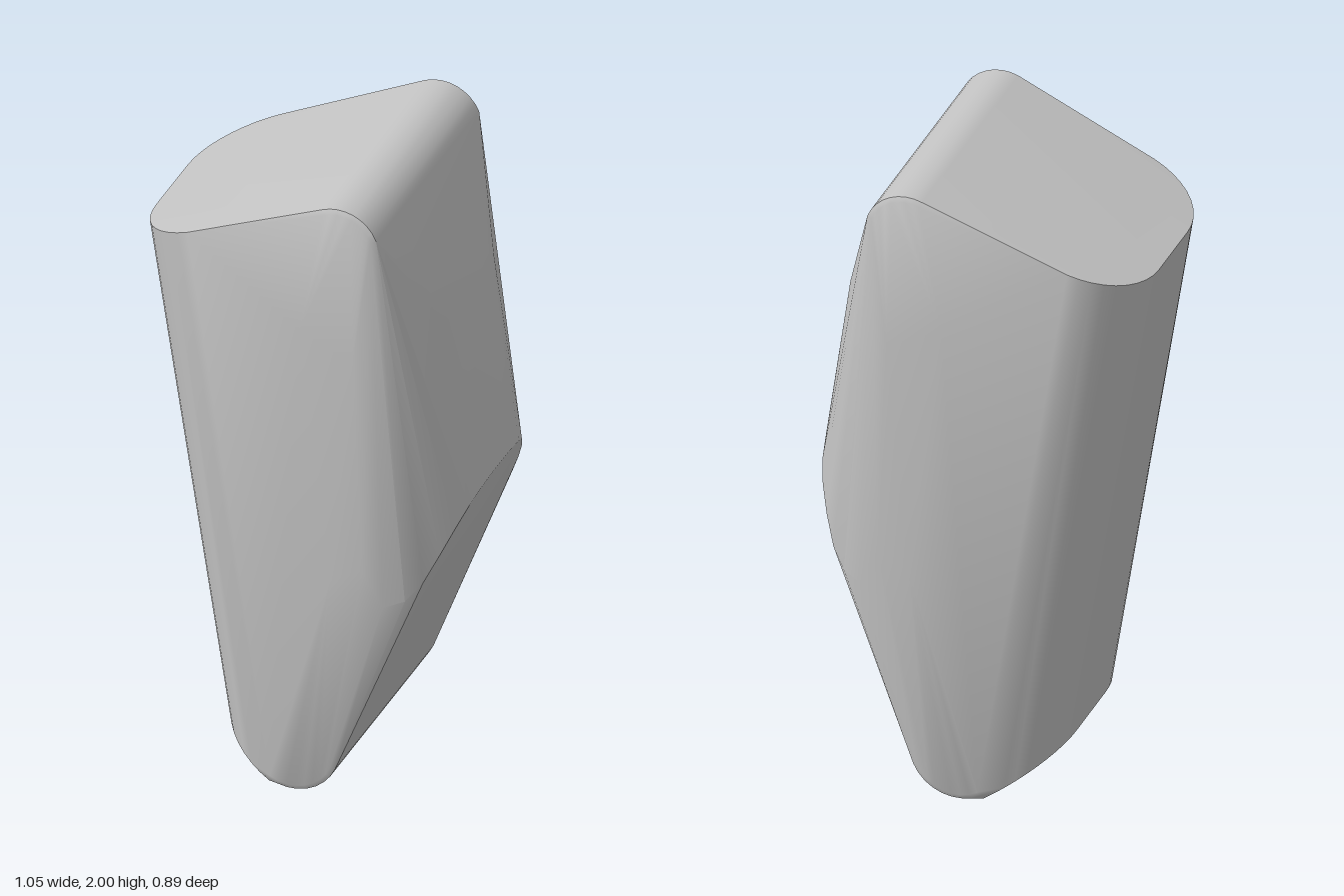
import * as THREE from 'three';
import { ConvexGeometry } from 'three/addons/geometries/ConvexGeometry.js';
import { toCreasedNormals } from 'three/addons/utils/BufferGeometryUtils.js';

export function createModel() {
  const group = new THREE.Group();
  const stoneGrey = new THREE.MeshStandardMaterial({ color: 0xc4c4c4 });
  const points = [];
  // adds a point and its mirror across the front-back centre
  const pair = (x, y, z) => points.push(new THREE.Vector3(x, y, z), new THREE.Vector3(x, y, -z));

  // rounded ridge along the top and rounded keel along the bottom
  const arc = (cx, cy, r, from, to, z) => {
    for (let i = 0; i <= 8; i++) {
      const a = THREE.MathUtils.degToRad(from + (to - from) * i / 8);
      pair(cx + r * Math.cos(a), cy + r * Math.sin(a), z);
      pair(cx + (r - 0.015) * Math.cos(a), cy + (r - 0.015) * Math.sin(a), z + 0.008);
    }
  };
  arc(0.165, 1.868, 0.132, 112, 22, 0.427);
  arc(0.012, 0.15, 0.15, 240, 337, 0.408);

  // rounded back column, leaning outward towards the top
  for (let i = 0; i <= 10; i++) {
    const t = i / 10 * Math.PI / 2;
    const dx = 0.235 * (1 - Math.cos(t));
    const z = 0.13 + 0.263 * Math.sin(t);
    pair(-0.525 + dx, 1.73 + dx * 0.39, z);
    pair(-0.265 + dx * 0.85, 0.135 - dx * 0.56, z);
  }

  // bulging nose where the upper and lower slopes meet
  const nose = [
    [0.522, 1.0, 0.06], [0.516, 0.985, 0.16], [0.503, 0.955, 0.22], [0.482, 0.905, 0.275],
    [0.452, 0.835, 0.325], [0.415, 0.755, 0.37], [0.37, 0.7, 0.403], [0.31, 0.68, 0.43]
  ];
  nose.forEach(p => pair(...p));

  // brow of the upper slope
  [[0.43, 1.55, 0.15], [0.418, 1.565, 0.21]].forEach(p => pair(...p));

  // widest part of the flanks
  [[0.05, 1.58, 0.446], [0.22, 1.5, 0.446], [0.25, 0.8, 0.444], [0.15, 0.75, 0.446]].forEach(p => pair(...p));

  const body = new THREE.Mesh(toCreasedNormals(new ConvexGeometry(points), 0.5), stoneGrey);
  body.name = 'body';
  group.add(body);
  return group;
}
